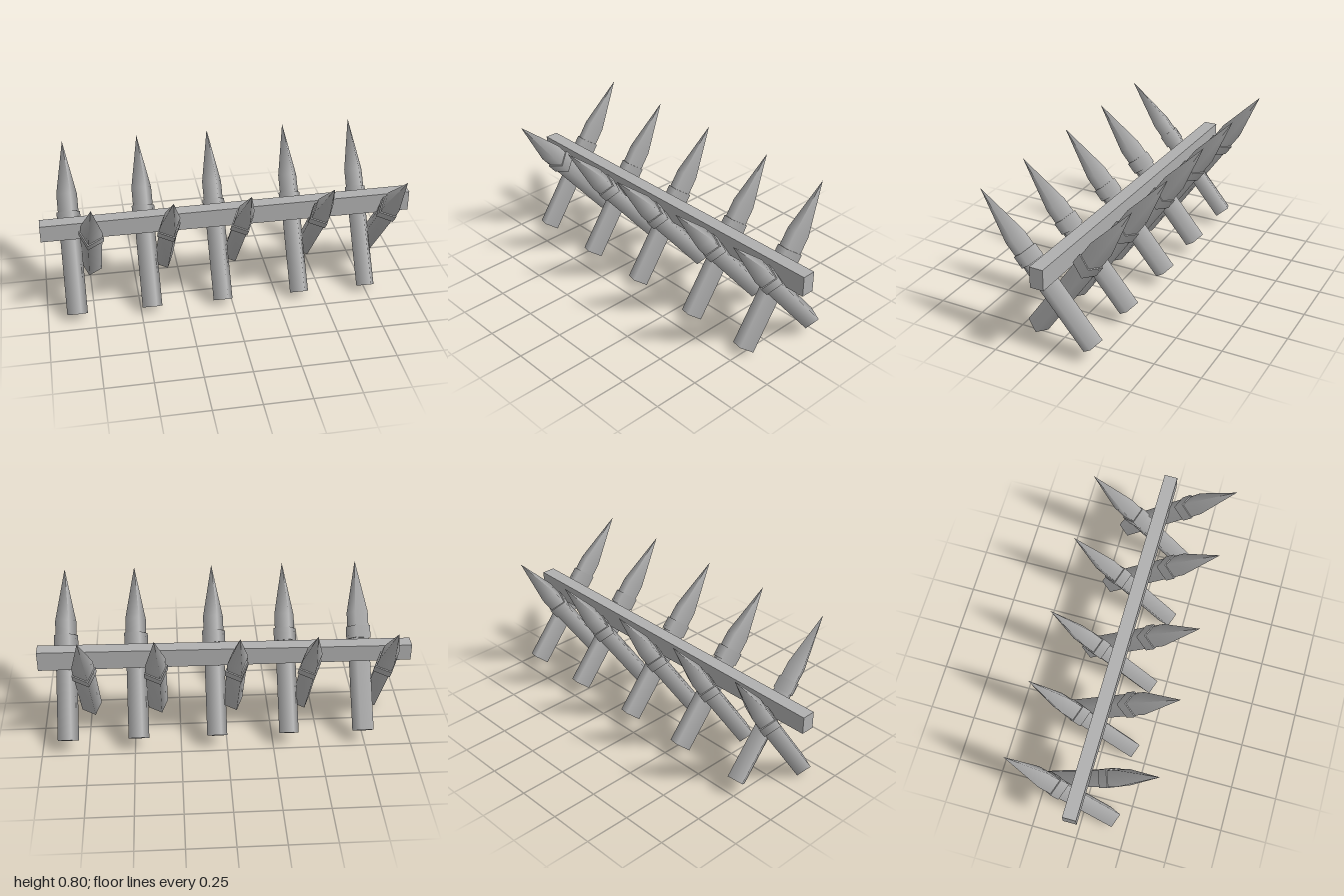
import * as THREE from 'three';

const RAD = Math.PI / 180;
const RADIUS = 0.0585;    // half diagonal of the square stakes
const SHOULDER = 0.648;   // height where the point begins
const LENGTH = 0.934;

// One square, sharpened stake with a collar; twist turns its corners about its axis.
function makeStake(name, material, twist, collarHeight) {
  const stake = new THREE.Group();
  stake.name = name;

  const profile = [[RADIUS, 0], [RADIUS, SHOULDER], [0, LENGTH]].map(p => new THREE.Vector2(...p));
  const shaft = new THREE.Mesh(new THREE.LatheGeometry(profile, 4, twist), material);
  shaft.name = 'shaft';

  const butt = new THREE.Mesh(
    new THREE.CircleGeometry(RADIUS, 4, Math.PI / 2 - twist).rotateX(Math.PI / 2), material);
  butt.name = 'buttEnd';

  const collar = new THREE.Mesh(
    new THREE.CylinderGeometry(0.067, 0.067, 0.068, 4, 1, false, twist), material);
  collar.name = 'collar';
  collar.position.y = collarHeight;

  stake.add(shaft, butt, collar);
  return stake;
}

// Slightly uneven rail running across the crossed stakes.
function makeRail(material) {
  const geometry = new THREE.BoxGeometry(2, 1, 1);
  const p = geometry.attributes.position;
  for (let i = 0; i < p.count; i++) {
    const right = p.getX(i) > 0;
    const top = right ? 0.534 : 0.515;
    const back = right ? -0.045 : -0.052;
    p.setY(i, p.getY(i) > 0 ? top : 0.422);
    p.setZ(i, p.getZ(i) > 0 ? back + 0.073 : back);
  }
  geometry.computeVertexNormals();
  const rail = new THREE.Mesh(geometry, material);
  rail.name = 'rail';
  return rail;
}

export function createModel() {
  const model = new THREE.Group();
  model.name = 'spikedBarricade';
  const wood = new THREE.MeshStandardMaterial({ color: 0xb0b0b0 });
  wood.name = 'greyWood';

  model.add(makeRail(wood));

  // Pairs of crossed stakes: x of the back-leaning and front-leaning one, and the latter's twist
  const pairs = [
    [-0.843, -0.738, 70], [-0.44, -0.334, 20], [-0.053, 0.055, 20],
    [0.372, 0.477, 20], [0.748, 0.855, 20],
  ];
  for (const [backX, frontX, frontTwist] of pairs) {
    const back = makeStake('backLeaningStake', wood, 20 * RAD, 0.518);
    back.position.set(backX, 0.033, 0.155);
    back.rotation.x = -34.9 * RAD;

    const front = makeStake('frontLeaningStake', wood, frontTwist * RAD, 0.537);
    front.position.set(frontX, 0.083, -0.222);
    front.rotation.x = 40 * RAD;
    model.add(back, front);
  }
  return model;
}
